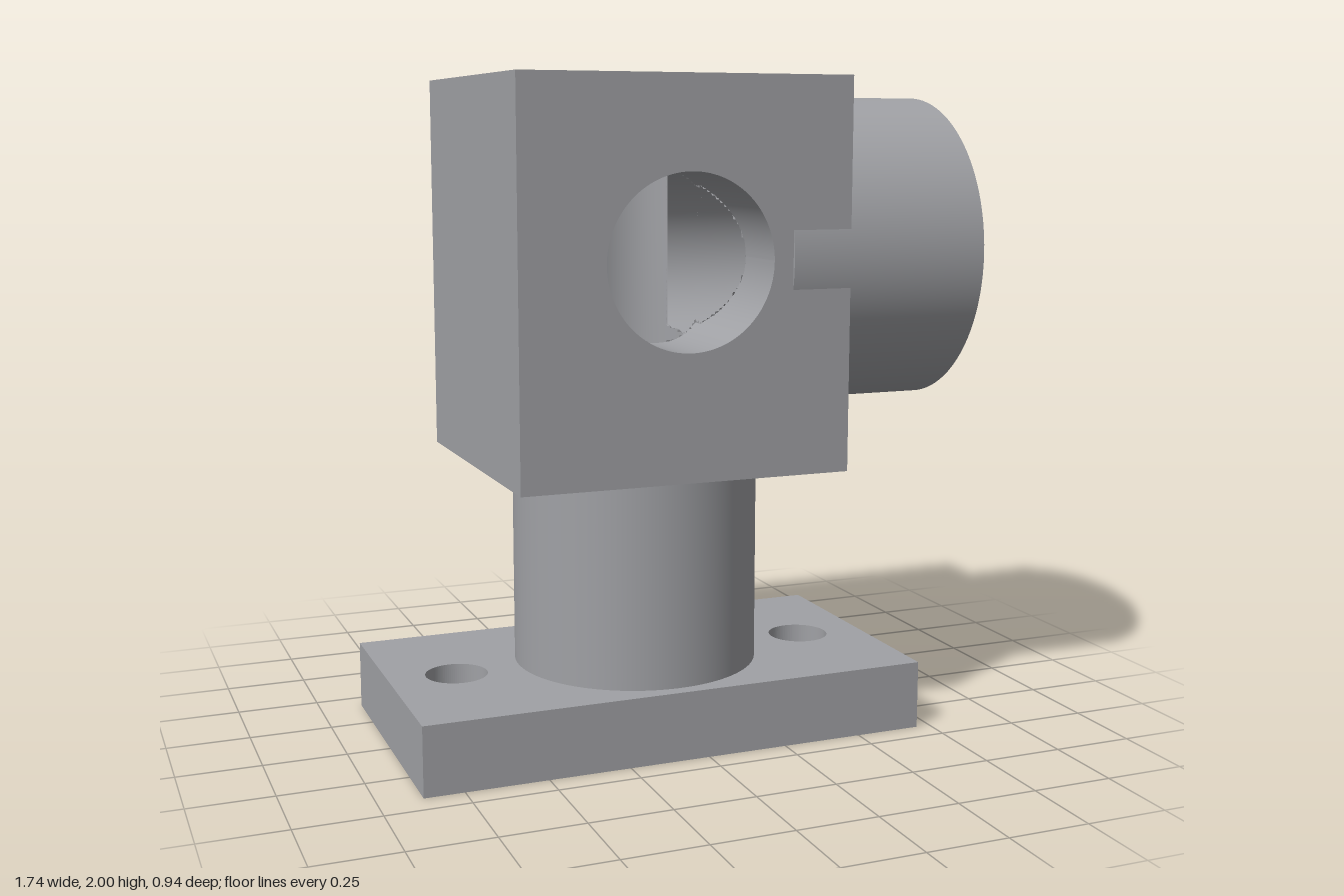
import * as THREE from 'three';

const CX = -0.08;   // axis of the column and the vertical bore
const CY = 1.475;   // height of the two horizontal bores
const TAU = Math.PI * 2;
const BOX = { x0: -0.59, x1: 0.42, y0: 0.845, y1: 2, z: 0.464 };
const FRONT = { r: 0.255, end: 0.05 };
const SIDE = { r: 0.265, end: 0.075, face: 0.866 };
const TOP = { r: 0.195, end: 0.95, wide: 0.34, step: 1.74 };
const BARREL = { r: 0.472, start: 0.235 };

// Tests for the three crossing bores
const inFront = ([x, y, z]) => z > FRONT.end && Math.hypot(x - CX, y - CY) < FRONT.r;
const inSide = ([x, y, z]) => x > SIDE.end && Math.hypot(y - CY, z) < SIDE.r;
const inTop = ([x, y, z]) => y > TOP.end && Math.hypot(x - CX, z) < TOP.r;

// Gridded surface that leaves out the cells lying inside other bores
function carved(point, nu, nv, cuts) {
  const positions = [], index = [];
  for (let j = 0; j <= nv; j++)
    for (let i = 0; i <= nu; i++) positions.push(...point((i / nu) * TAU, j / nv));
  for (let j = 0; j < nv; j++)
    for (let i = 0; i < nu; i++) {
      const mid = point(((i + 0.5) / nu) * TAU, (j + 0.5) / nv);
      if (cuts.some((cut) => cut(mid))) continue;
      const a = j * (nu + 1) + i, b = a + 1, c = a + nu + 1, d = c + 1;
      index.push(a, c, b, b, c, d);
    }
  const g = new THREE.BufferGeometry();
  g.setAttribute('position', new THREE.Float32BufferAttribute(positions, 3));
  g.setIndex(index);
  g.computeVertexNormals();
  return g;
}

// Rectangle with round holes given as [x, y, radius]
function rect(x0, y0, x1, y1, holes = []) {
  const s = new THREE.Shape([[x0, y0], [x1, y0], [x1, y1], [x0, y1]].map((p) => new THREE.Vector2(...p)));
  for (const [x, y, r] of holes) s.holes.push(new THREE.Path().absarc(x, y, r, 0, TAU, true));
  return s;
}

const lerp = THREE.MathUtils.lerp;

export function createModel() {
  const group = new THREE.Group();
  const metal = new THREE.MeshStandardMaterial({ color: 0xa0a1a5, side: THREE.DoubleSide });
  metal.name = 'grey metal';
  const add = (name, geometry, x = 0, y = 0, z = 0) => {
    const mesh = new THREE.Mesh(geometry, metal);
    mesh.name = name;
    mesh.position.set(x, y, z);
    group.add(mesh);
  };

  // Base plate with two through holes
  const base = new THREE.ExtrudeGeometry(
    rect(-0.87, -0.42, 0.705, 0.42, [[-0.66, 0, 0.095], [0.495, 0, 0.095]]),
    { depth: 0.21, bevelEnabled: false, curveSegments: 48 });
  add('basePlate', base.rotateX(-Math.PI / 2));

  // Column
  add('column', new THREE.CylinderGeometry(0.378, 0.378, 0.635, 96, 1, true), CX, 0.5275, 0);

  // Block, one face at a time
  const { x0, x1, y0, y1, z } = BOX;
  const face = (shape) => new THREE.ShapeGeometry(shape, 60);
  add('blockFront', face(rect(x0, y0, x1, y1, [[CX, CY, FRONT.r]])), 0, 0, z);
  add('blockBack', face(rect(-x1, y0, -x0, y1)).rotateY(Math.PI), 0, 0, -z);
  add('blockTop', face(rect(x0, -z, x1, z, [[CX, 0, TOP.wide]])).rotateX(-Math.PI / 2), 0, y1, 0);
  add('blockBottom', face(rect(x0, -z, x1, z)).rotateX(Math.PI / 2), 0, y0, 0);
  add('blockLeft', face(rect(-z, y0, z, y1, [[0, CY, 0.455]])).rotateY(Math.PI / 2), x1, 0, 0);
  add('blockRight', face(rect(-z, y0, z, y1)).rotateY(-Math.PI / 2), x0, 0, 0);

  // Side barrel: outer wall and both ring ends
  const length = SIDE.face - BARREL.start;
  add('barrelWall', new THREE.CylinderGeometry(BARREL.r, BARREL.r, length, 96, 1, true)
    .rotateZ(-Math.PI / 2), BARREL.start + length / 2, CY, 0);
  const ring = (dir) => new THREE.RingGeometry(SIDE.r, BARREL.r, 96).rotateY(dir * Math.PI / 2);
  add('barrelOuterEnd', ring(1), SIDE.face, CY, 0);
  add('barrelInnerEnd', ring(-1), BARREL.start, CY, 0);

  // Counterbore and its step
  add('counterboreWall', new THREE.CylinderGeometry(TOP.wide, TOP.wide, y1 - TOP.step, 96, 1, true)
    .scale(-1, 1, 1), CX, (y1 + TOP.step) / 2, 0);
  add('counterboreStep', new THREE.RingGeometry(TOP.r, TOP.wide, 96).rotateX(-Math.PI / 2), CX, TOP.step, 0);

  // Crossing bores: walls and flat ends
  add('verticalBoreWall', carved((a, t) =>
    [CX + TOP.r * Math.cos(a), lerp(TOP.end, TOP.step, t), TOP.r * Math.sin(a)], 120, 80, [inFront, inSide]));
  add('verticalBoreEnd', new THREE.CircleGeometry(TOP.r, 64).rotateX(-Math.PI / 2), CX, TOP.end, 0);
  add('frontBoreWall', carved((a, t) =>
    [CX + FRONT.r * Math.cos(a), CY + FRONT.r * Math.sin(a), lerp(z, FRONT.end, t)], 120, 60, [inTop, inSide]));
  add('frontBoreEnd', carved((a, t) =>
    [CX + FRONT.r * t * Math.cos(a), CY + FRONT.r * t * Math.sin(a), FRONT.end], 120, 40, [inTop, inSide]));
  add('sideBoreWall', carved((a, t) =>
    [lerp(SIDE.face, SIDE.end, t), CY + SIDE.r * Math.cos(a), SIDE.r * Math.sin(a)], 120, 80, [inTop, inFront]));
  add('sideBoreEnd', carved((a, t) =>
    [SIDE.end, CY + SIDE.r * t * Math.cos(a), SIDE.r * t * Math.sin(a)], 120, 40, [inTop, inFront]));

  return group;
}
